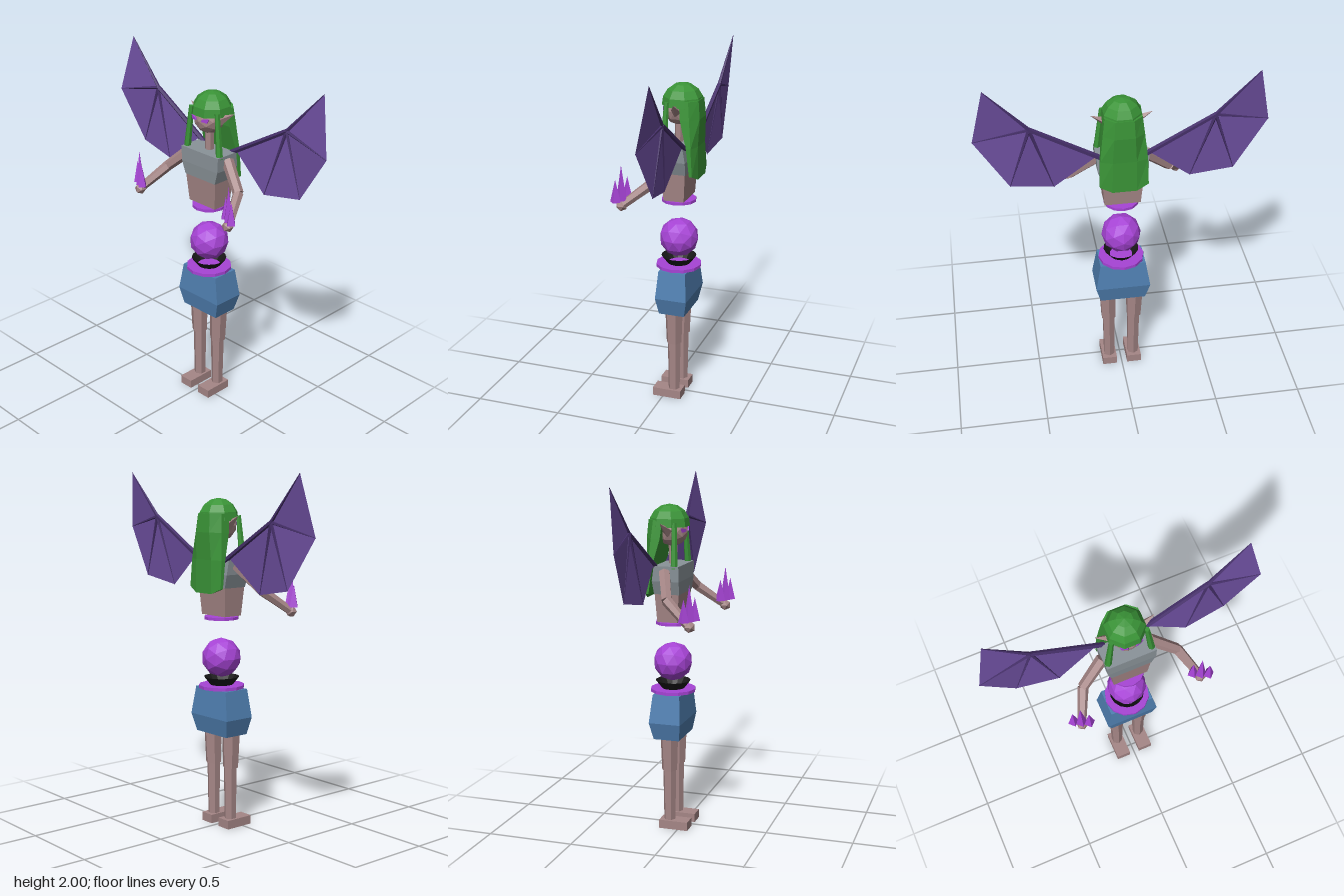
import * as THREE from 'three';

const mat = (name, color, side = THREE.FrontSide) => {
  const m = new THREE.MeshStandardMaterial({ color, side });
  m.name = name;
  return m;
};

export function createModel() {
  const model = new THREE.Group();
  const skin = mat('skin', 0xa58686);
  const green = mat('hair green', 0x3a9437, THREE.DoubleSide);
  const blue = mat('skirt blue', 0x5080b2);
  const grey = mat('top grey', 0x8a9399);
  const magenta = mat('bright purple', 0xa744d6);
  const black = mat('black', 0x181818, THREE.DoubleSide);
  const membrane = mat('wing membrane', 0x6d4f9f, THREE.DoubleSide);
  const bone = mat('wing bone', 0x46306a);
  const V = (x, y, z) => new THREE.Vector3(x, y, z);

  // Adds a faceted mesh
  const add = (name, geometry, material, x = 0, y = 0, z = 0) => {
    const g = geometry.index ? geometry.toNonIndexed() : geometry;
    g.computeVertexNormals();
    const mesh = new THREE.Mesh(g, material);
    mesh.name = name;
    mesh.position.set(x, y, z);
    model.add(mesh);
    return mesh;
  };

  // Tapered rod between two points
  const rod = (name, a, b, ra, rb, material, sides = 6) => {
    const d = b.clone().sub(a);
    const mesh = add(name, new THREE.CylinderGeometry(rb, ra, d.length(), sides), material);
    mesh.position.copy(a).add(b).multiplyScalar(0.5);
    mesh.quaternion.setFromUnitVectors(V(0, 1, 0), d.normalize());
    return mesh;
  };

  // Closed solid through rings of points, listed bottom to top
  const loft = (rings) => {
    const pos = [];
    const tri = (...pts) => pts.forEach((p) => pos.push(p.x, p.y, p.z));
    const n = rings[0].length;
    for (let r = 0; r < rings.length - 1; r++) {
      for (let i = 0; i < n; i++) {
        const j = (i + 1) % n, lo = rings[r], hi = rings[r + 1];
        tri(lo[i], lo[j], hi[j]);
        tri(lo[i], hi[j], hi[i]);
      }
    }
    const bottom = rings[0], top = rings[rings.length - 1];
    for (let i = 1; i < n - 1; i++) {
      tri(bottom[0], bottom[i + 1], bottom[i]);
      tri(top[0], top[i], top[i + 1]);
    }
    const g = new THREE.BufferGeometry();
    g.setAttribute('position', new THREE.Float32BufferAttribute(pos, 3));
    return g;
  };
  const rect = ([y, w, zf, zb]) => [V(-w, y, zf), V(w, y, zf), V(w, y, zb), V(-w, y, zb)];

  // Skirt and torso
  add('skirt', loft([[0.54, 0.13, 0.015, -0.135], [0.64, 0.157, 0.03, -0.155],
    [0.8, 0.13, 0.018, -0.14]].map(rect)), blue);
  add('waist', loft([[1.215, 0.1, -0.003, -0.12], [1.375, 0.113, 0.01, -0.13]].map(rect)), skin);
  add('top', loft([[1.375, 0.115, 0.013, -0.133], [1.45, 0.138, 0.018, -0.138],
    [1.535, 0.142, 0.017, -0.125]].map(rect)), grey);

  // Floating middle: discs, collar and orb
  add('lowerDisc', new THREE.CylinderGeometry(0.13, 0.13, 0.018, 12), magenta, 0, 0.81, -0.06);
  add('collar', new THREE.CylinderGeometry(0.1, 0.065, 0.045, 16, 1, true), black, 0, 0.842, -0.06);
  add('orb', new THREE.IcosahedronGeometry(0.112, 1), magenta, 0, 0.973, -0.061);
  add('upperDisc', new THREE.CylinderGeometry(0.098, 0.098, 0.016, 12), magenta, 0, 1.2, -0.06);

  // Neck and head
  rod('neck', V(0, 1.52, -0.06), V(0, 1.68, -0.06), 0.025, 0.025, skin);
  add('head', new THREE.IcosahedronGeometry(0.086, 1), skin, 0, 1.715, -0.06);

  // Hair cap and long back hair
  const cap = add('hairCap', new THREE.SphereGeometry(0.115, 8, 4, 0, Math.PI * 2, 0, Math.PI * 0.52),
    green, 0, 1.75, -0.08);
  cap.rotation.y = Math.PI / 8;
  const hairRing = ([y, w, zf, zb, drop]) => {
    const zm = zf * 0.45 + zb * 0.55;
    return [V(-w, y, zf), V(w, y, zf), V(w, y, zm),
      V(w * 0.5, y - drop, zb), V(-w * 0.5, y - drop, zb), V(-w, y, zm)];
  };
  add('backHair', loft([[1.375, 0.132, -0.16, -0.19, 0.03], [1.53, 0.128, -0.14, -0.188, 0],
    [1.68, 0.112, -0.1, -0.194, 0], [1.78, 0.1, -0.09, -0.185, 0]].map(hairRing)), green);

  // Wing outline points: joint first, then the finger tips from top to bottom
  const root = [0.14, 1.545, -0.125], joint = [0.49, 1.75, -0.135];
  const tips = [[0.715, 2.0, -0.15], [0.785, 1.68, -0.105], [0.605, 1.4, -0.125], [0.37, 1.36, -0.105]];

  for (const s of [1, -1]) {
    const side = s > 0 ? 'left' : 'right';
    const P = ([x, y, z]) => V(s * x, y, z);

    // Legs
    add(side + 'Foot', new THREE.BoxGeometry(0.085, 0.05, 0.17), skin, s * 0.074, 0.025, -0.025);
    rod(side + 'Shin', V(s * 0.073, 0.05, -0.058), V(s * 0.074, 0.36, -0.058), 0.034, 0.039, skin);
    rod(side + 'Thigh', V(s * 0.076, 0.35, -0.058), V(s * 0.08, 0.56, -0.058), 0.045, 0.053, skin);

    // Arms
    const elbow = V(s * 0.275, 1.37, -0.005), wrist = V(s * 0.347, 1.255, 0.14);
    rod(side + 'UpperArm', V(s * 0.135, 1.5, -0.065), elbow, 0.034, 0.03, skin);
    rod(side + 'Forearm', elbow, wrist, 0.03, 0.024, skin);
    add(side + 'Hand', new THREE.IcosahedronGeometry(0.033, 0), skin, s * 0.347, 1.25, 0.147);

    // Claws: the row runs the same way on both hands
    [[-0.039, -0.019, 0.125], [0, 0, 0.195], [0.039, 0.019, 0.125]].forEach(([dx, dz, h]) =>
      add(side + 'Claw', new THREE.ConeGeometry(0.03, h, 4), magenta,
        s * 0.35 + dx, 1.28 + h / 2, 0.146 + dz));

    // Ear, eye and front lock
    rod(side + 'Ear', V(s * 0.07, 1.715, -0.065), V(s * 0.163, 1.768, -0.08), 0.03, 0.001, skin, 4);
    const eye = new THREE.Shape([[-0.022, -0.008], [0.014, -0.012], [0.024, 0.012], [-0.018, 0.004]]
      .map(([x, y]) => new THREE.Vector2(s * x, y)));
    const eyeMesh = add(side + 'Eye',
      new THREE.ExtrudeGeometry(eye, { depth: 0.008, bevelEnabled: false }), magenta, s * 0.04, 1.725, 0.012);
    eyeMesh.rotation.y = s * 0.3;
    rod(side + 'FrontLock', V(s * 0.125, 1.52, -0.012), V(s * 0.098, 1.77, -0.02), 0.02, 0.014, green);

    // Wing membrane fanning out from the joint
    const rim = [...tips, root].map(P), hub = P(joint), pos = [];
    for (let i = 0; i < rim.length - 1; i++) {
      const [a, b] = s > 0 ? [rim[i + 1], rim[i]] : [rim[i], rim[i + 1]];
      [hub, a, b].forEach((p) => pos.push(p.x, p.y, p.z));
    }
    const g = new THREE.BufferGeometry();
    g.setAttribute('position', new THREE.Float32BufferAttribute(pos, 3));
    add(side + 'WingMembrane', g, membrane);

    // Wing bones
    rod(side + 'WingArm', V(s * 0.1, 1.522, -0.125), hub, 0.015, 0.013, bone, 5);
    tips.forEach((t) => rod(side + 'WingFinger', hub, P(t), 0.011, 0.002, bone, 5));
  }
  return model;
}
